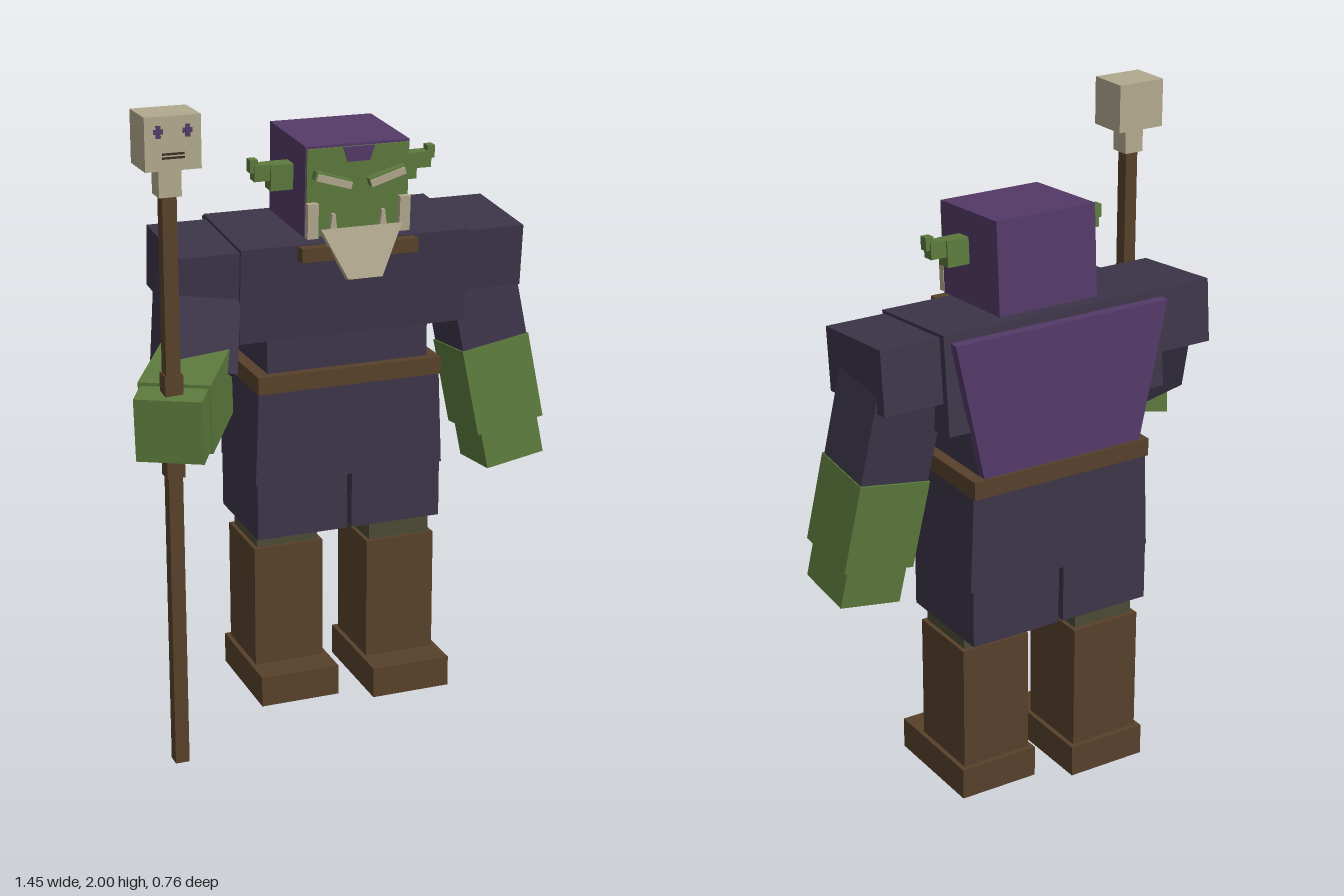
import * as THREE from 'three';

const mat = (name, color) => Object.assign(new THREE.MeshStandardMaterial({ color }), { name });

export function createModel() {
  const cloth = mat('dark cloth', 0x3c3549);
  const purple = mat('purple hood', 0x543a68);
  const green = mat('green skin', 0x5c7a3d);
  const bone = mat('bone', 0xb2a98e);
  const brown = mat('brown leather', 0x57402a);
  const olive = mat('olive trousers', 0x4b4a35);
  const dark = mat('dark mouth', 0x3a3128);
  const model = new THREE.Group();
  model.name = 'staffBearer';
  const CX = 0.06; // body centre line

  const add = (name, geo, material, parent = model) => {
    const m = new THREE.Mesh(geo, material);
    m.name = name;
    parent.add(m);
    return m;
  };
  // Box given by its min and max on each axis
  const box = (name, material, x0, x1, y0, y1, z0, z1, parent = model) => {
    const m = add(name, new THREE.BoxGeometry(x1 - x0, y1 - y0, z1 - z0), material, parent);
    m.position.set((x0 + x1) / 2, (y0 + y1) / 2, (z0 + z1) / 2);
    return m;
  };
  // Box whose top and bottom widths differ
  const taper = (name, material, topW, botW, h, d, parent = model) => {
    const geo = new THREE.BoxGeometry(1, h, d);
    const p = geo.attributes.position;
    for (let i = 0; i < p.count; i++) p.setX(i, p.getX(i) * (p.getY(i) > 0 ? topW : botW));
    geo.computeVertexNormals();
    return add(name, geo, material, parent);
  };
  // Box running from a to b: w across, h along the up hint
  const limb = (name, material, a, b, w, h, up) => {
    const A = new THREE.Vector3(...a), B = new THREE.Vector3(...b);
    const z = B.clone().sub(A), len = z.length();
    z.normalize();
    const x = new THREE.Vector3(...up).cross(z).normalize();
    const y = z.clone().cross(x);
    const m = add(name, new THREE.BoxGeometry(w, h, len), material);
    m.quaternion.setFromRotationMatrix(new THREE.Matrix4().makeBasis(x, y, z));
    m.position.copy(A).add(B).multiplyScalar(0.5);
  };

  // Legs: the left one stands a little further forward
  for (const [side, x, z] of [['left', 0.235, 0], ['right', -0.12, -0.067]]) {
    box(side + 'Foot', brown, x - 0.13, x + 0.13, 0, 0.1, z - 0.302, z + 0.065);
    box(side + 'Boot', brown, x - 0.115, x + 0.115, 0.1, 0.5, z - 0.285, z - 0.037);
    box(side + 'Thigh', olive, x - 0.102, x + 0.102, 0.5, 0.6, z - 0.268, z - 0.05);
  }
  box('leftShorts', cloth, 0.066, 0.365, 0.56, 0.74, -0.37, -0.03);
  box('rightShorts', cloth, -0.248, 0.05, 0.56, 0.74, -0.37, -0.03);
  taper('hips', cloth, 0.6, 0.625, 0.3, 0.336).position.set(CX, 0.89, -0.2);
  box('belt', brown, -0.245, 0.362, 1.04, 1.095, -0.378, -0.018);

  // Torso leans forward
  box('waist', cloth, -0.205, 0.325, 1.09, 1.25, -0.34, -0.05);
  const chest = add('chest', new THREE.BoxGeometry(0.74, 0.3, 0.352), cloth);
  chest.position.set(CX, 1.378, -0.166);
  chest.rotation.x = 0.09;
  for (const s of [-1, 1]) {
    const pad = add(s > 0 ? 'leftShoulder' : 'rightShoulder',
      new THREE.BoxGeometry(0.192, 0.195, 0.32), cloth);
    pad.position.set(CX + s * 0.464, 1.42, -0.155);
    pad.rotation.x = 0.09;
  }
  box('collar', brown, -0.13, 0.245, 1.465, 1.508, 0, 0.06);
  taper('cape', purple, 0.72, 0.54, 0.425, 0.032).position.set(CX, 1.313, -0.363);

  // Left arm hangs outward
  const arm = new THREE.Group();
  arm.name = 'leftArm';
  arm.position.set(0.555, 1.105, -0.145);
  arm.rotation.set(-0.1, 0, 0.165);
  model.add(arm);
  box('leftUpperArm', cloth, -0.112, 0.112, 0, 0.3, -0.11, 0.11, arm);
  box('leftForearm', green, -0.116, 0.116, -0.28, 0, -0.116, 0.116, arm);
  box('leftHand', green, -0.1, 0.1, -0.4, -0.28, -0.105, 0.105, arm);

  // Right arm reaches forward to the staff
  limb('rightUpperArm', cloth, [-0.395, 1.42, -0.14], [-0.455, 1.13, -0.01], 0.2, 0.22, [0, 0, 1]);
  limb('rightForearm', green, [-0.44, 1.12, -0.02], [-0.59, 1.094, 0.24], 0.215, 0.215, [0, 1, 0]);
  limb('rightHand', green, [-0.59, 1.094, 0.24], [-0.637, 1.085, 0.325], 0.2, 0.195, [0, 1, 0]);

  // Head, slightly tipped forward; local origin at its centre
  const head = new THREE.Group();
  head.name = 'head';
  head.position.set(CX, 1.678, -0.131);
  head.rotation.x = 0.06;
  model.add(head);
  box('hood', purple, -0.166, 0.166, -0.14, 0.14, -0.157, 0.15, head);
  box('face', green, -0.163, 0.163, -0.138, 0.132, 0.15, 0.158, head);
  const peak = taper('hoodPeak', purple, 0.1, 0.07, 0.045, 0.006, head);
  peak.position.set(0, 0.11, 0.16);
  for (const s of [-1, 1]) {
    const side = s > 0 ? 'left' : 'right';
    // Ear in three steps toward the tip
    for (const [x, w, y, h, d] of [[0.2, 0.075, 0.022, 0.08, 0.052], [0.25, 0.075, 0.038, 0.05, 0.04],
      [0.288, 0.025, 0.06, 0.04, 0.03]]) {
      const e = add(side + 'Ear', new THREE.BoxGeometry(w, h, d), green, head);
      e.position.set(s * x, y, 0.025);
    }
    const brow = add(side + 'Brow', new THREE.BoxGeometry(0.12, 0.026, 0.03), green, head);
    brow.position.set(s * 0.088, 0.04, 0.17);
    brow.rotation.z = s * 0.3;
    const eye = add(side + 'Eye', new THREE.BoxGeometry(0.115, 0.022, 0.006), bone, head);
    eye.position.set(s * 0.086, 0.038, 0.187);
    eye.rotation.z = s * 0.3;
    box(side + 'Whisker', bone, s * 0.148 - 0.017, s * 0.148 + 0.017, -0.138, -0.03, 0.155, 0.178, head);
    const tusk = taper(side + 'Tusk', bone, 0.01, 0.024, 0.055, 0.015, head);
    tusk.position.set(s * 0.08, -0.095, 0.166);
  }
  // Beard sticks out toward its lower end
  const beard = taper('beard', bone, 0.26, 0.11, 0.155, 0.025);
  beard.position.set(CX, 1.483, 0.065);
  beard.rotation.x = -0.2;

  // Staff with a skull on top
  const SX = -0.612, SZ = 0.28;
  const post = (name, material, w, y0, y1, d = w) =>
    box(name, material, SX - w / 2, SX + w / 2, y0, y1, SZ - d / 2, SZ + d / 2);
  post('staff', brown, 0.043, 0.02, 1.78);
  post('lowerWrap', brown, 0.054, 0.935, 0.99);
  post('upperWrap', brown, 0.054, 1.16, 1.245);
  post('skullNeck', bone, 0.066, 1.765, 1.85);
  post('skull', bone, 0.162, 1.848, 2, 0.136);
  const FZ = SZ + 0.068;
  for (const s of [-1, 1]) {
    const x = SX + s * 0.042;
    box('skullEye', purple, x - 0.007, x + 0.007, 1.94, 1.975, FZ, FZ + 0.003);
    box('skullEye', purple, x - 0.014, x + 0.014, 1.951, 1.965, FZ, FZ + 0.002);
  }
  for (const y of [1.884, 1.895]) box('skullMouth', dark, SX - 0.032, SX + 0.032, y - 0.003, y + 0.003, FZ, FZ + 0.003);
  return model;
}
